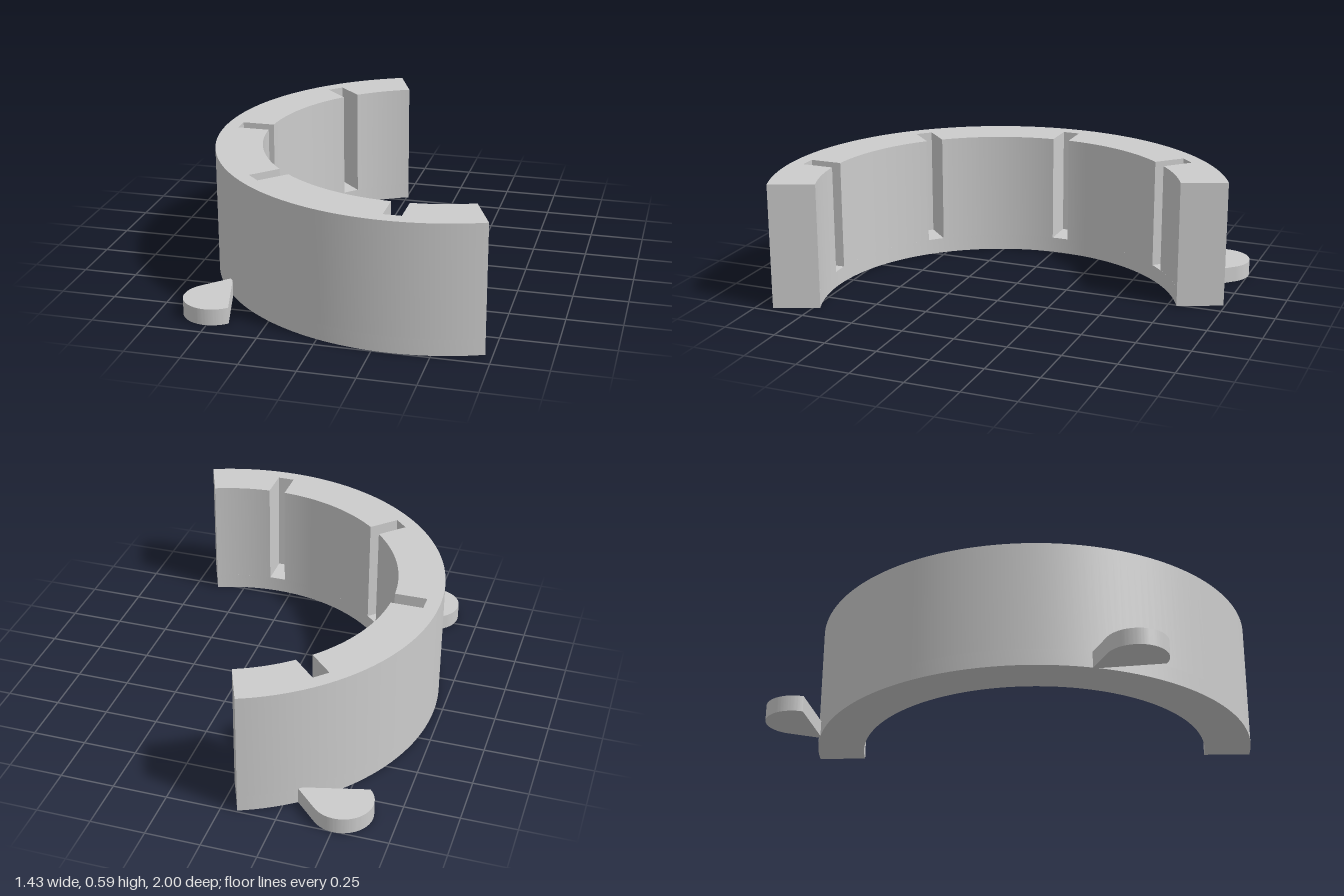
import * as THREE from 'three';
import { toCreasedNormals } from 'three/addons/utils/BufferGeometryUtils.js';

const CX = 0.322, CZ = -0.036;            // ring centre
const R_OUT = 1.035, R_IN = 0.818;        // ring radii
const HEIGHT = 0.59, BASE = 0.075;        // full height, base and tab thickness
const SLOT_R = 0.968, SLOT_HALF = 0.04;   // slot depth radius, half width
const TAB_R = 1.174, TAB_ROUND = 0.137, HOLE = 0.054;
const rad = THREE.MathUtils.degToRad;
const START = rad(67.5), END = rad(247.5);
const SLOTS = [90, 135, 180, 225].map(rad);
const TABS = [135, 225].map(rad);

const material = new THREE.MeshStandardMaterial({ color: 0xcccccc });

// Extrudes a plan shape (x, z) upwards between two heights
function slab(name, shape, y0, y1) {
  const extruded = new THREE.ExtrudeGeometry(shape, { depth: y1 - y0, bevelEnabled: false, curveSegments: 48 });
  extruded.rotateX(Math.PI / 2).translate(0, y1, 0);
  const mesh = new THREE.Mesh(toCreasedNormals(extruded, 0.5), material);
  mesh.name = name;
  return mesh;
}

// Half-ring plan, with optional slots cut into the inner wall
function ringShape(slots) {
  const shape = new THREE.Shape();
  shape.absarc(0, 0, R_OUT, START, END, false);
  const half = Math.asin(SLOT_HALF / R_IN);
  let from = END;
  for (const a of [...slots].reverse()) {
    shape.absarc(0, 0, R_IN, from, a + half, true);
    for (const side of [1, -1]) {
      const t = side * SLOT_HALF;
      shape.lineTo(SLOT_R * Math.cos(a) - t * Math.sin(a), SLOT_R * Math.sin(a) + t * Math.cos(a));
    }
    from = a - half;
  }
  shape.absarc(0, 0, R_IN, from, START, true);
  shape.closePath();
  return shape;
}

// Rounded lug with a screw hole, pointing along +x from the ring wall
function tabShape() {
  const shape = new THREE.Shape();
  const root = R_OUT - 0.02;
  shape.moveTo(root, -TAB_ROUND);
  shape.absarc(TAB_R, 0, TAB_ROUND, -Math.PI / 2, Math.PI / 2, false);
  shape.lineTo(root, TAB_ROUND);
  shape.closePath();
  shape.holes.push(new THREE.Path().absarc(TAB_R, 0, HOLE, 0, Math.PI * 2, true));
  return shape;
}

export function createModel() {
  const model = new THREE.Group();
  model.name = 'halfRingBracket';

  // Solid base forms the slot floors; the slotted wall stands on it
  model.add(slab('ringBase', ringShape([]), 0, BASE));
  model.add(slab('slottedWall', ringShape(SLOTS), BASE, HEIGHT));

  // Mounting tabs on the outside
  TABS.forEach((angle, i) => {
    const tab = slab(i ? 'backMountingTab' : 'frontMountingTab', tabShape(), 0, BASE);
    tab.rotation.y = -angle;
    model.add(tab);
  });

  model.position.set(CX, 0, CZ);
  const root = new THREE.Group();
  root.name = 'bracket';
  root.add(model);
  return root;
}
